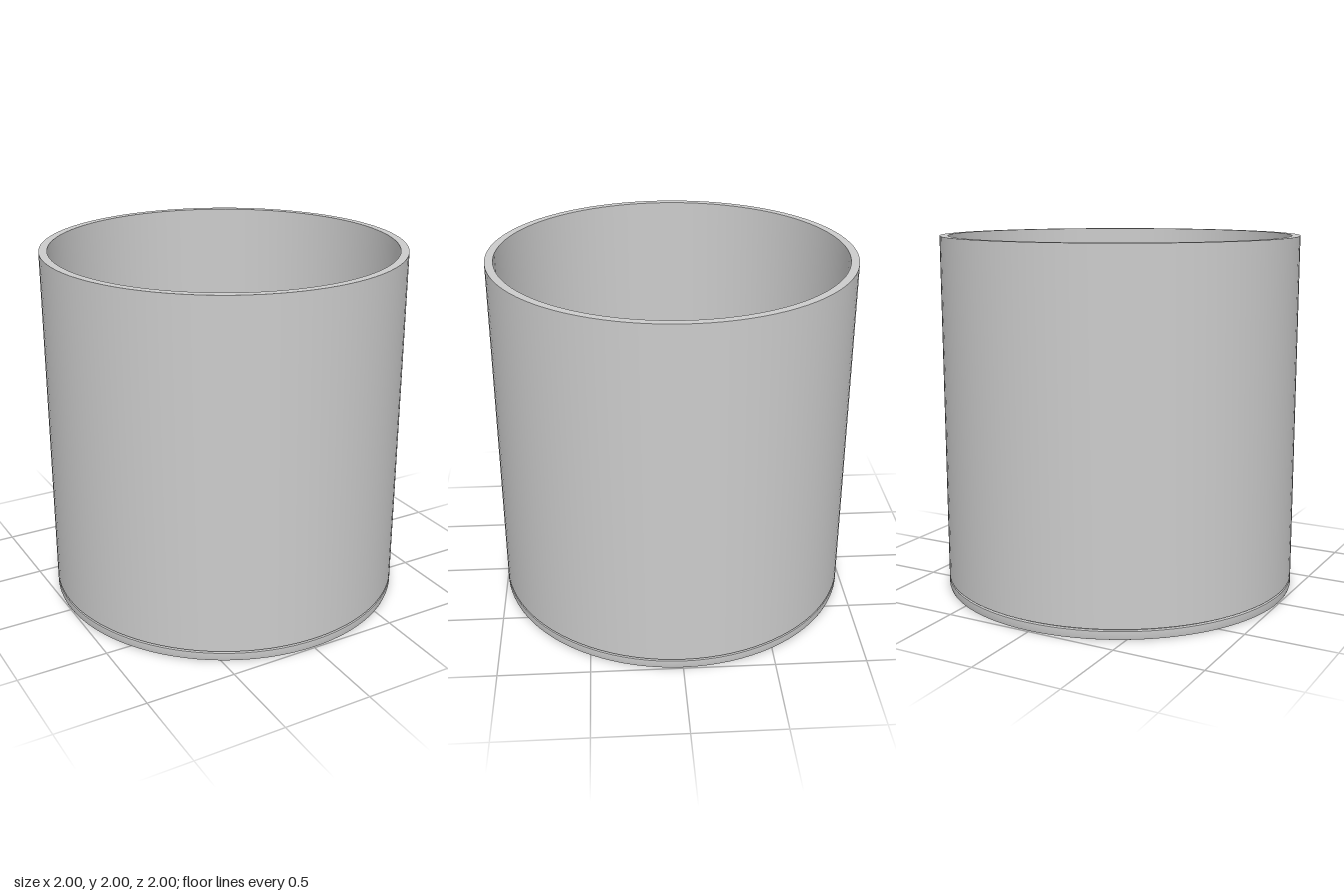
import * as THREE from 'three';
import { toCreasedNormals } from 'three/addons/utils/BufferGeometryUtils.js';

const SEGMENTS = 96;

// Turned part from [radius, height] pairs, running counter-clockwise round the section
function turned(name, profile, color = 0xcccccc, open = false) {
  const points = profile.map(([r, y]) => new THREE.Vector2(r, y));
  if (!open) points.push(points[0].clone());
  const geometry = toCreasedNormals(new THREE.LatheGeometry(points, SEGMENTS), 0.45);
  const material = new THREE.MeshStandardMaterial({ color });
  if (open) material.side = THREE.DoubleSide;
  const mesh = new THREE.Mesh(geometry, material);
  mesh.name = name;
  return mesh;
}

export function createModel() {
  const lamp = new THREE.Group();
  lamp.name = 'downlight';

  // Tall open tube
  lamp.add(turned('housingTube', [[0.955, 0.06], [1, 0.06], [1, 2], [0.955, 2]]));

  // Recessed neck that leaves a shadow gap above the trim
  lamp.add(turned('shadowGap', [[0.955, 0.045], [0.978, 0.045], [0.978, 0.062], [0.955, 0.062]]));

  // Trim ring with softened lower edge
  lamp.add(turned('trimRing', [
    [0.958, 0], [0.988, 0], [0.997, 0.004], [1, 0.013], [1, 0.049], [0.955, 0.049], [0.955, 0.003],
  ]));

  // Black anti-glare cone with its flange
  lamp.add(turned('glareCone', [
    [0.575, 0.33], [0.935, 0.015], [0.955, 0.015], [0.955, 0.06], [0.885, 0.06], [0.58, 0.345],
  ], 0x2b2b2b));

  // Grey backing shell over the cone, ending in a flat collar
  lamp.add(turned('backShell', [
    [0.58, 0.345], [0.885, 0.056], [0.89, 0.062], [0.62, 0.37], [0.58, 0.37],
  ]));

  // Diffuser disc closing the cone
  lamp.add(turned('diffuser', [[0, 0.33], [0.578, 0.33], [0.578, 0.345], [0, 0.345]]));

  // White reflector rising to the light source
  lamp.add(turned('reflector', [[0.58, 0.365], [0.228, 0.62]], 0xf8f5ff, true));

  // Yellow light source, a shallow cup with flat centre
  lamp.add(turned('lightSource', [[0.228, 0.62], [0.155, 0.565], [0, 0.565]], 0xffd700, true));

  return lamp;
}
